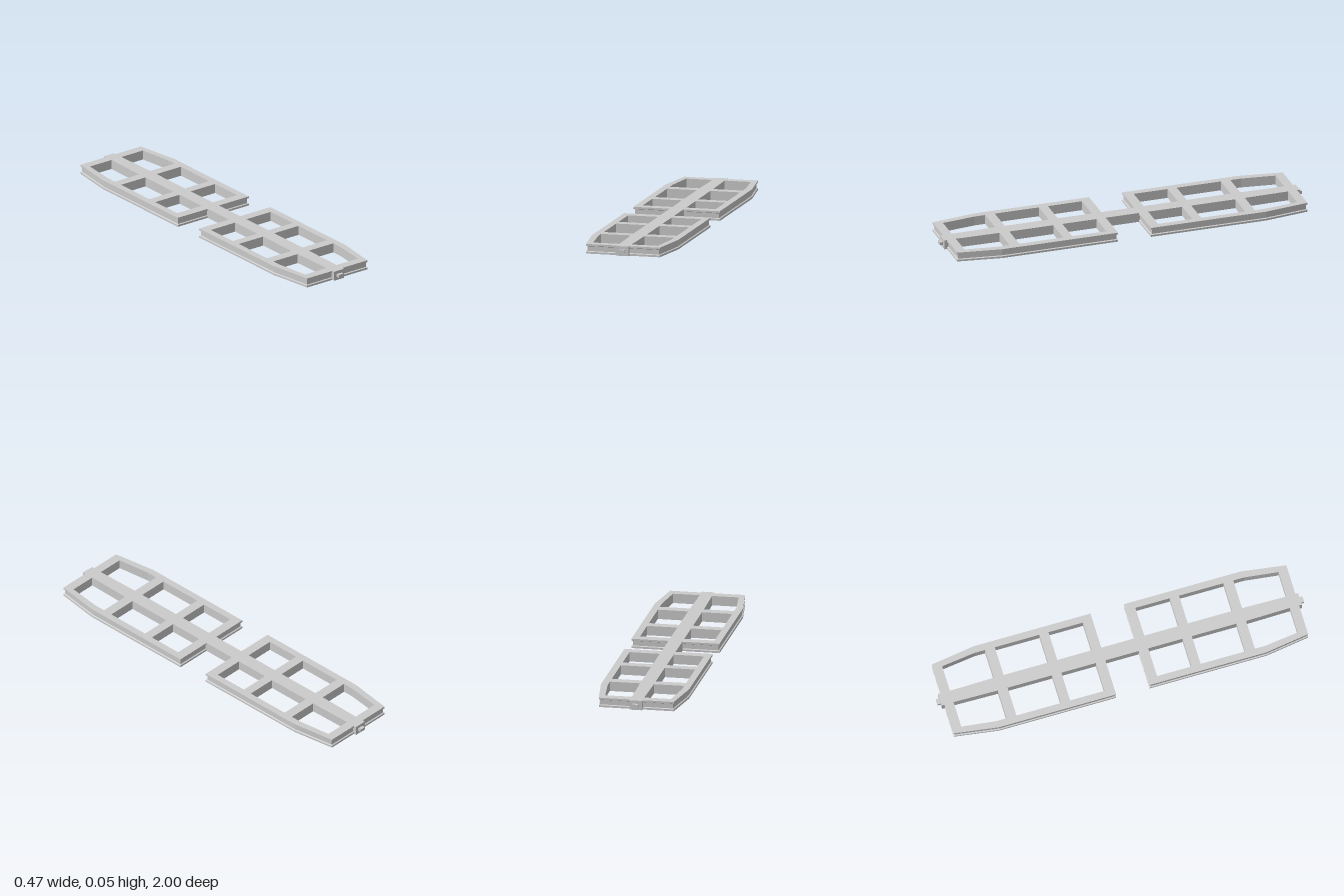
import * as THREE from 'three';

const H = 0.051;
const material = new THREE.MeshStandardMaterial({ color: 0xcccccc, flatShading: true });

// One quarter of the outline: [x, z, x inside the groove, z inside the groove]
const QUARTER = [
  [0.037, 0.091, 0.037, 0.098],
  [0.235, 0.091, 0.228, 0.098],
  [0.235, 0.73, 0.228, 0.729],
  [0.2, 0.967, 0.194, 0.96],
  [0.034, 0.967, 0.034, 0.96],
  [0.034, 0.982, 0.034, 0.982],
];

// Windows of one quarter, same turning direction as the outline
const WINDOWS = [
  [[0.037, 0.143], [0.198, 0.143], [0.198, 0.331], [0.037, 0.331]],
  [[0.037, 0.381], [0.198, 0.381], [0.198, 0.624], [0.037, 0.624]],
  [[0.037, 0.677], [0.198, 0.677], [0.198, 0.735], [0.175, 0.918], [0.033, 0.918]],
];

// Groove section: [y, depth factor]
const GROOVE = [[0, 0], [0.01, 0], [0.013, 1], [0.038, 1], [0.041, 0], [H, 0]];

// Mirrors a point list, keeping its turning direction
function mirror(points, sx, sz) {
  const out = points.map((p) => p.map((v, i) => v * (i % 2 ? sz : sx)));
  return sx * sz < 0 ? out.reverse() : out;
}

// Skins stacked closed rings of [x, y, z] points
function wall(rings) {
  const pos = [];
  for (let k = 0; k < rings.length - 1; k++) {
    const lo = rings[k], hi = rings[k + 1];
    for (let i = 0; i < lo.length; i++) {
      const j = (i + 1) % lo.length;
      pos.push(...lo[i], ...hi[i], ...hi[j], ...lo[i], ...hi[j], ...lo[j]);
    }
  }
  const g = new THREE.BufferGeometry();
  g.setAttribute('position', new THREE.Float32BufferAttribute(pos, 3));
  g.computeVertexNormals();
  return g;
}

export function createModel() {
  const model = new THREE.Group();
  model.name = 'slottedFrame';
  const add = (name, geometry) => {
    const mesh = new THREE.Mesh(geometry, material);
    mesh.name = name;
    model.add(mesh);
    return mesh;
  };

  const signs = [[1, 1], [-1, 1], [-1, -1], [1, -1]];
  const outline = signs.flatMap(([sx, sz]) => mirror(QUARTER, sx, sz));
  const windows = signs.flatMap(([sx, sz]) => WINDOWS.map((w) => mirror(w, sx, sz)));

  // Outer rim with the groove running around both panels
  add('groovedRim', wall(GROOVE.map(([y, d]) =>
    outline.map(([x, z, xi, zi]) => [x + (xi - x) * d, y, z + (zi - z) * d]))));

  // Straight walls inside the windows
  for (const w of windows) {
    const ring = [...w].reverse();
    add('windowWall', wall([0, H].map((y) => ring.map(([x, z]) => [x, y, z]))));
  }

  // Flat top and bottom faces with window openings
  const toPoints = (list) => list.map(([x, z]) => new THREE.Vector2(x, -z));
  const shape = new THREE.Shape(toPoints(outline));
  shape.holes = windows.map((w) => new THREE.Path(toPoints(w)));
  add('topFace', new THREE.ShapeGeometry(shape).rotateX(-Math.PI / 2).translate(0, H, 0));
  add('bottomFace', new THREE.ShapeGeometry(shape).rotateX(Math.PI / 2));

  // Small tab on each end block
  for (const s of [1, -1]) {
    add('endTab', new THREE.BoxGeometry(0.032, 0.016, 0.018)).position.set(0, 0.026, s * 0.991);
  }
  return model;
}
